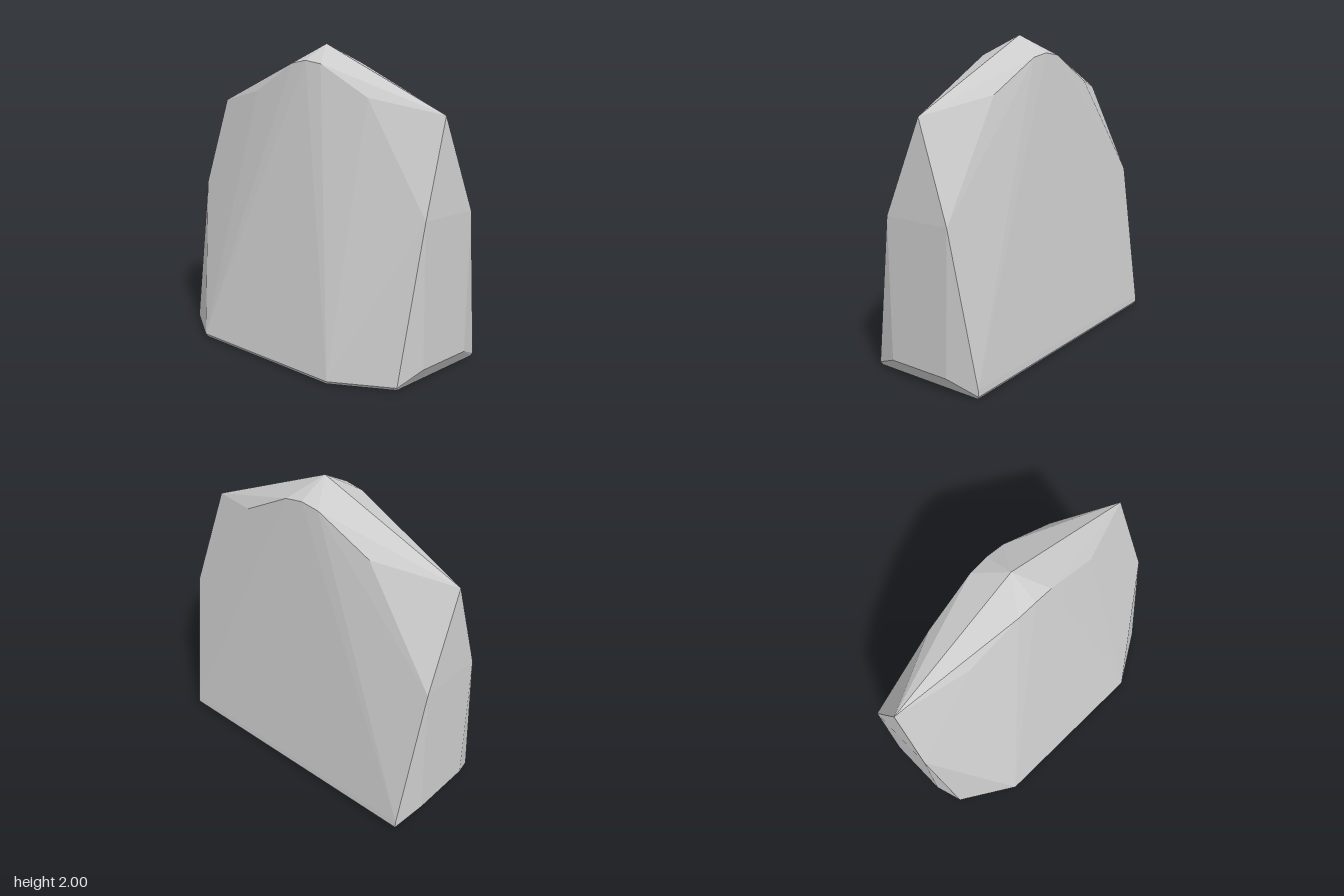
import * as THREE from 'three';
import { ConvexGeometry } from 'three/addons/geometries/ConvexGeometry.js';

export function createModel() {
  const group = new THREE.Group();
  group.name = 'boulder';
  const points = [];
  const add = (x, y, z) => points.push(new THREE.Vector3(x, y, z));
  const pair = (x, y, z) => { add(x, y, z); add(-x, y, z); };

  // peak and the two slightly uneven shoulders
  add(0, 2, -0.1);
  add(0.96, 1.59, -0.105);
  add(-0.98, 1.59, -0.06);

  // rims of the sloping top, front and back
  add(0, 1.895, 0.095);
  add(0, 1.895, -0.305);
  pair(0.13, 1.875, 0.09);
  pair(0.13, 1.875, -0.303);
  pair(0.5, 1.68, 0.065);
  pair(0.5, 1.68, -0.28);

  // flat end faces
  pair(1, 1, 0.12);
  pair(1, 1, -0.335);
  pair(1, 0.1, 0.11);
  pair(1, 0.1, -0.31);

  // foot outline, with a small bevel down to the ground
  for (const [x, z] of [[0.58, 0.5], [0.94, 0.28], [0.94, -0.5]]) {
    pair(x, 0.02, z);
    pair(x - 0.01, 0, z - Math.sign(z) * 0.012);
  }
  pair(0.94, 0.06, -0.498);

  const rock = new THREE.Mesh(
    new ConvexGeometry(points),
    new THREE.MeshStandardMaterial({ color: 0xcccccc, flatShading: true })
  );
  rock.name = 'rock';
  group.add(rock);
  return group;
}
